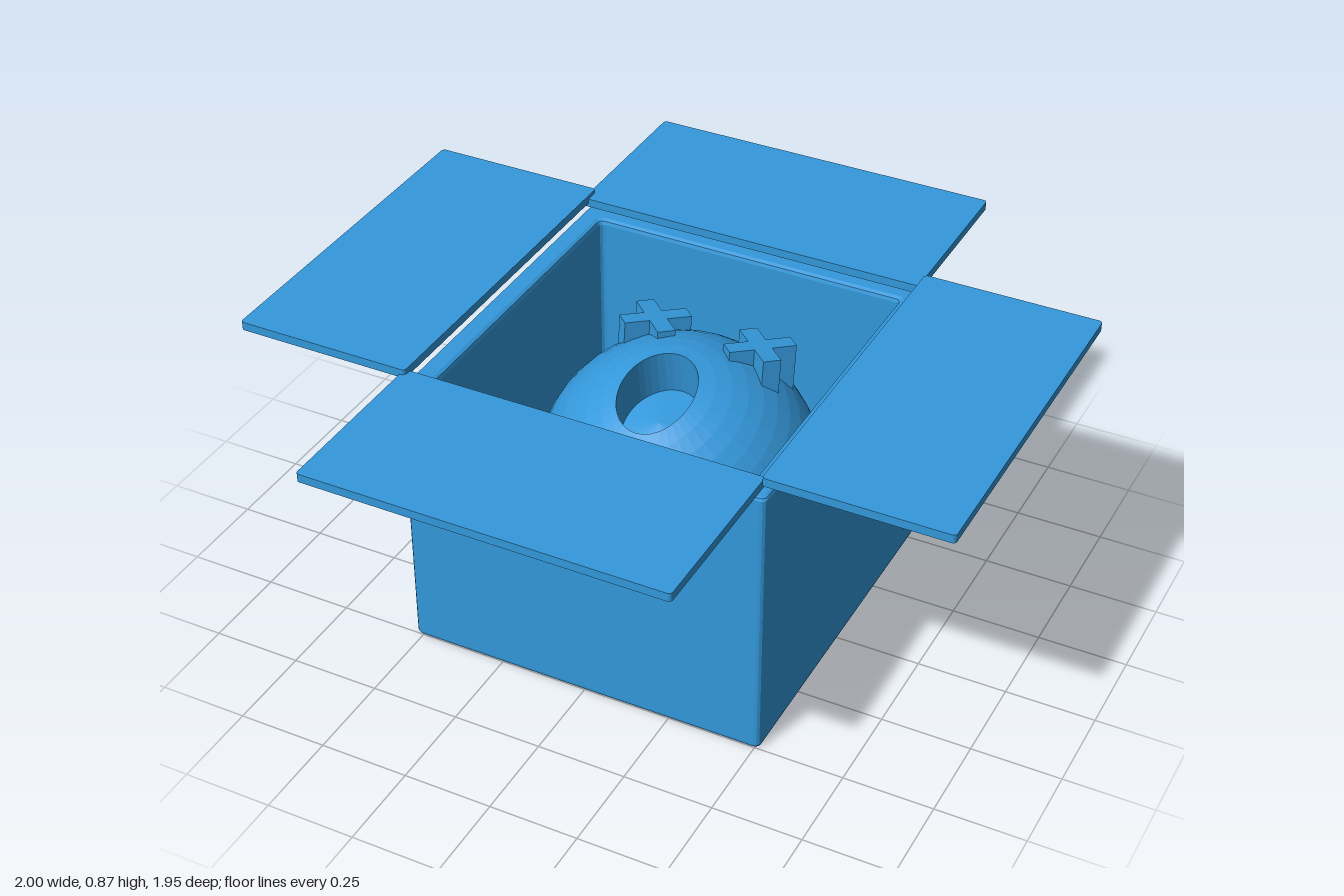
import * as THREE from 'three';

const material = new THREE.MeshStandardMaterial({ color: 0x3498db, flatShading: true });

function addMesh(parent, name, geometry) {
  const mesh = new THREE.Mesh(geometry, material);
  mesh.name = name;
  parent.add(mesh);
  return mesh;
}

// Skins a list of closed rings (each an array of Vector3, turning from +x to +z).
function loft(rings) {
  const n = rings[0].length;
  const index = [];
  for (let i = 0; i < rings.length - 1; i++) {
    for (let j = 0; j < n; j++) {
      const a = i * n + j, b = i * n + (j + 1) % n;
      index.push(a, a + n, b, b, a + n, b + n);
    }
  }
  const geometry = new THREE.BufferGeometry().setFromPoints(rings.flat());
  geometry.setIndex(index);
  const flat = geometry.toNonIndexed();
  flat.computeVertexNormals();
  return flat;
}

// Horizontal rectangle with rounded corners.
function rectRing(hx, hz, y, radius) {
  const ring = [];
  const r = Math.min(radius, hx, hz);
  for (let c = 0; c < 4; c++) {
    const sx = c === 0 || c === 3 ? 1 : -1;
    const sz = c < 2 ? 1 : -1;
    for (let k = 0; k <= 3; k++) {
      const a = (c + k / 3) * Math.PI / 2;
      ring.push(new THREE.Vector3(sx * (hx - r) + r * Math.cos(a), y, sz * (hz - r) + r * Math.sin(a)));
    }
  }
  return ring;
}

// Open carton: outside skin, rolled rim, inside skin and floor in one profile.
function carton() {
  const profile = [
    [0, 0, 0], [0.507, 0.51, 0], [0.514, 0.517, 0.004], [0.517, 0.52, 0.012],
    [0.517, 0.52, 0.8], [0.514, 0.517, 0.807], [0.507, 0.51, 0.81],
    [0.467, 0.464, 0.81], [0.458, 0.455, 0.805], [0.455, 0.452, 0.795],
    [0.455, 0.452, 0.05], [0, 0, 0.05],
  ];
  return loft(profile.map(([hx, hz, y]) => rectRing(hx, hz, y, 0.016)));
}

function flap(w, d) {
  const t = 0.012;
  return loft([[0, -t], [1, -t], [1, t], [0, t]].map(([s, y]) => rectRing(s * w / 2, s * d / 2, y, 0.01)));
}

// Ball with an oval mouth sunk into it; its poles lie on the mouth axis.
function ball(R, cy, cz, floorY) {
  const tilt = Math.asin(0.14 / R), segments = 40, rows = 24;
  const xAxis = new THREE.Vector3(1, 0, 0);
  const rings = [];
  for (let i = 0; i <= rows; i++) {
    const ring = [];
    for (let j = 0; j < segments; j++) {
      const a = j / segments * Math.PI * 2;
      const lip = 1 / Math.hypot(Math.cos(a) / 0.103, Math.sin(a) / 0.134);
      const theta = THREE.MathUtils.lerp(Math.PI, Math.asin(lip / R), i / rows);
      const p = new THREE.Vector3(
        R * Math.sin(theta) * Math.cos(a), R * Math.cos(theta), R * Math.sin(theta) * Math.sin(a));
      p.applyAxisAngle(xAxis, tilt);
      p.y = Math.max(p.y + cy, floorY);
      p.z += cz;
      ring.push(p);
    }
    rings.push(ring);
  }
  // mouth wall and bottom
  rings.push(rings[rows].map(p => new THREE.Vector3(p.x, p.y - 0.13, p.z - 0.02)));
  rings.push(rings[rows].map(() => new THREE.Vector3(0, 0.59, 0.06)));
  return loft(rings);
}

// Plus-shaped block, top face at y = 0.
function crossBlock(length, width, depth) {
  const L = length / 2, w = width / 2;
  const shape = new THREE.Shape([
    [w, w], [w, L], [-w, L], [-w, w], [-L, w], [-L, -w],
    [-w, -w], [-w, -L], [w, -L], [w, -w], [L, -w], [L, w],
  ].map(([x, y]) => new THREE.Vector2(x, y)));
  const geometry = new THREE.ExtrudeGeometry(shape, { depth, bevelEnabled: false });
  return geometry.rotateX(Math.PI / 2).rotateY(Math.PI / 4);
}

export function createModel() {
  const model = new THREE.Group();
  model.name = 'openBoxWithFace';

  addMesh(model, 'carton', carton()).position.set(-0.003, 0, -0.016);

  // Four lid flaps spread out flat just above the rim
  const flaps = [
    ['leftFlap', 0.5, 1.02, 0.75, 0.858, -0.01],
    ['rightFlap', 0.5, 1.02, -0.75, 0.858, -0.01],
    ['frontFlap', 1.015, 0.5, -0.008, 0.843, 0.725],
    ['backFlap', 1.015, 0.5, -0.008, 0.847, -0.727],
  ];
  for (const [name, w, d, x, y, z] of flaps) addMesh(model, name, flap(w, d)).position.set(x, y, z);

  // Face
  const face = new THREE.Group();
  face.name = 'face';
  model.add(face);
  addMesh(face, 'head', ball(0.395, 0.345, -0.06, 0.045));
  for (const [name, x] of [['leftEye', 0.165], ['rightEye', -0.148]]) {
    const eye = addMesh(face, name, crossBlock(0.19, 0.05, 0.14));
    eye.position.set(x, 0.732, -0.205);
    eye.rotation.x = -0.12;
  }
  return model;
}
